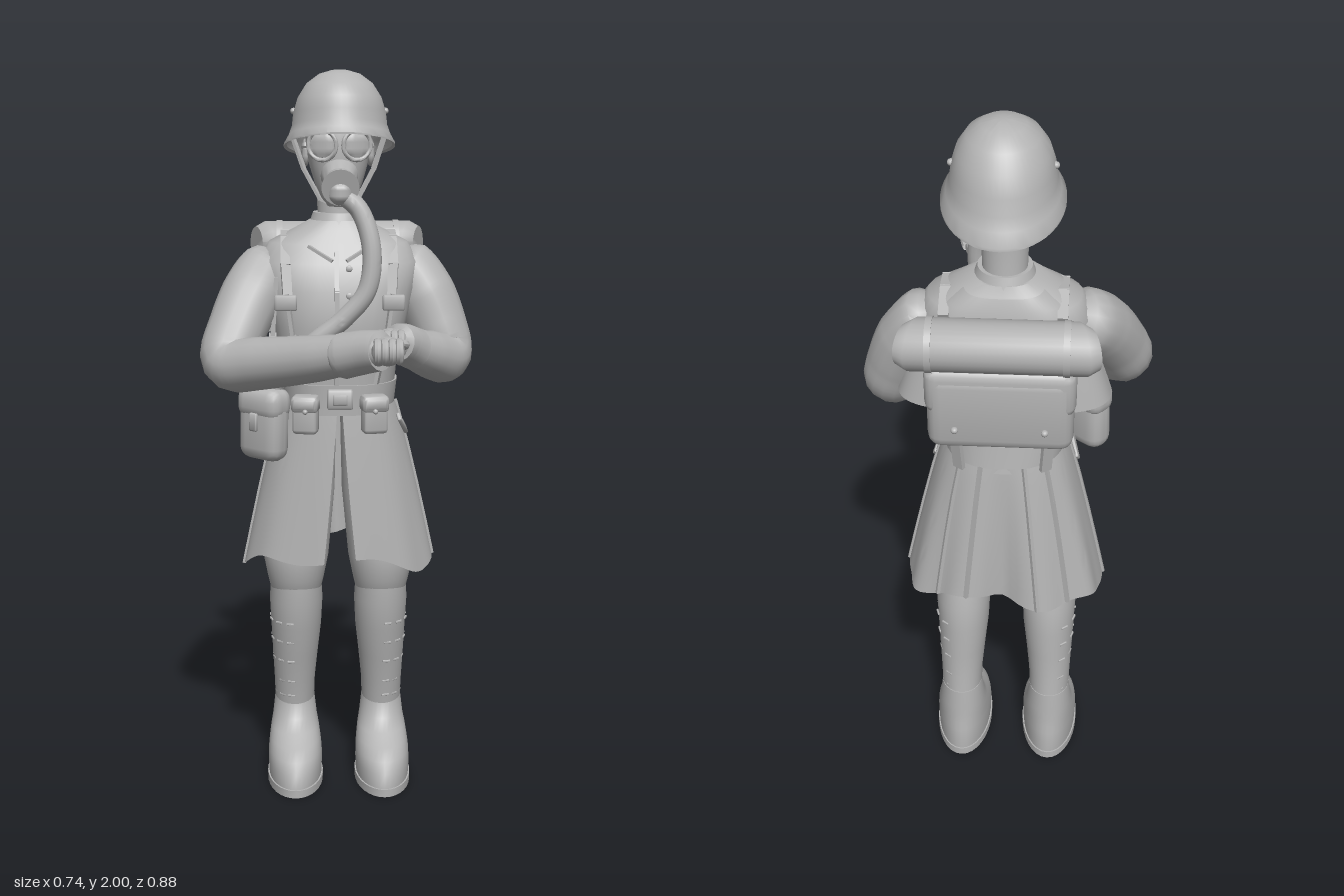
import * as THREE from 'three';
import { toCreasedNormals } from 'three/addons/utils/BufferGeometryUtils.js';
import { RoundedBoxGeometry } from 'three/addons/geometries/RoundedBoxGeometry.js';

const V = (x, y, z) => new THREE.Vector3(x, y, z);

export function createModel() {
  const model = new THREE.Group();
  model.name = 'soldier';
  const grey = new THREE.MeshStandardMaterial({ color: 0xb4b4b4, side: THREE.DoubleSide });
  grey.name = 'plain grey';

  function add(name, geo, x = 0, y = 0, z = 0, rx = 0, ry = 0, rz = 0) {
    const m = new THREE.Mesh(toCreasedNormals(geo, 0.75), grey);
    m.name = name;
    m.position.set(x, y, z);
    m.rotation.set(rx, ry, rz);
    model.add(m);
    return m;
  }

  // Grid whose vertices follow fn(u, v)
  function sheet(fn, nu, nv) {
    const g = new THREE.PlaneGeometry(1, 1, nu, nv);
    const p = g.attributes.position;
    for (let i = 0; i < p.count; i++) p.setXYZ(i, ...fn(p.getX(i) + 0.5, p.getY(i) + 0.5));
    return g;
  }

  const spow = (s, e) => Math.sign(s) * Math.pow(Math.abs(s), e);
  // Closed body from [y, centreX, halfWidth, zBack, zFront], rising in y
  function loft(secs, power = 2, seg = 32) {
    const tip = s => [s[0], s[1], 0.0001, (s[3] + s[4]) / 2, (s[3] + s[4]) / 2];
    const all = [tip(secs[0]), ...secs, tip(secs[secs.length - 1])], n = all.length - 1;
    return sheet((u, v) => {
      const [y, cx, rx, z0, z1] = all[Math.round(v * n)], a = u * Math.PI * 2, e = 2 / power;
      return [cx + rx * spow(Math.sin(a), e), y, (z0 + z1) / 2 + (z1 - z0) / 2 * spow(Math.cos(a), e)];
    }, seg, n);
  }

  // Tube with changing radius from [x, y, z, r]
  function limb(pts, seg = 32, round = 16) {
    const c = new THREE.CatmullRomCurve3(pts.map(p => V(p[0], p[1], p[2])));
    const g = new THREE.TubeGeometry(c, seg, 1, round), p = g.attributes.position, q = V();
    for (let i = 0; i < p.count; i++) {
      const u = Math.floor(i / (round + 1)) / seg, t = c.getUtoTmapping(u) * (pts.length - 1);
      const k = Math.min(Math.floor(t), pts.length - 2);
      const r = THREE.MathUtils.lerp(pts[k][3], pts[k + 1][3], t - k), o = c.getPointAt(u);
      q.fromBufferAttribute(p, i).sub(o).multiplyScalar(r).add(o);
      p.setXYZ(i, q.x, q.y, q.z);
    }
    return g;
  }

  // Flat webbing laid through a list of points
  function strap(name, pts, w, t = 0.012) {
    for (let i = 0; i < pts.length - 1; i++) {
      const [a, b] = [pts[i], pts[i + 1]];
      const m = add(name, new THREE.BoxGeometry(w, t, a.distanceTo(b) + t * 0.6));
      m.position.copy(a).add(b).multiplyScalar(0.5);
      m.lookAt(b);
    }
  }
  const box = (w, h, d, r = 0.012) => new RoundedBoxGeometry(w, h, d, 2, r);
  const ball = (r, sx = 1, sy = 1, sz = 1) => new THREE.SphereGeometry(r, 20, 14).scale(sx, sy, sz);

  // Torso
  const body = [[1.08, 0, 0.15, -0.32, -0.02], [1.2, 0, 0.16, -0.3, -0.015], [1.32, 0, 0.185, -0.29, 0],
    [1.42, 0, 0.21, -0.29, -0.01], [1.49, 0, 0.22, -0.29, -0.035], [1.54, 0, 0.19, -0.28, -0.07],
    [1.575, 0, 0.12, -0.26, -0.09], [1.6, 0, 0.075, -0.25, -0.1]];
  add('torso', loft(body, 2.5));
  // Point on the chest surface
  function onBody(x, y, lift = 0.005) {
    const k = Math.max(1, body.findIndex(s => s[0] >= y)), a = body[k - 1], b = body[k];
    const [, , rx, z0, z1] = a.map((s, i) => THREE.MathUtils.lerp(s, b[i], (y - a[0]) / (b[0] - a[0])));
    const f = Math.pow(Math.max(0, 1 - Math.pow(Math.abs(x) / rx, 2.5)), 0.4);
    return V(x, y, (z0 + z1) / 2 + (z1 - z0) / 2 * f + lift);
  }

  // Back cape
  add('cape', sheet((u, v) => {
    const a = Math.PI * (0.5 + u), w = Math.pow(1 - v, 0.55);
    return [(0.1 + 0.17 * w) * spow(Math.sin(a), 0.65), 1.27 + 0.31 * v,
      -0.19 + (0.085 + 0.04 * w) * spow(Math.cos(a), 0.65)];
  }, 32, 10));

  // Coat skirt with open front and folded back: angle a, drop t
  function skirtAt(a, t, lift = 0) {
    const w = Math.pow(t, 0.85), back = Math.max(0, -Math.cos(a));
    const fold = 1 + 0.035 * t * Math.cos(a * 9) * (0.3 + back) - 0.16 * t * Math.exp(-Math.pow((a - Math.PI) / 0.12, 2));
    const hem = 0.655 + 0.02 * Math.cos(a * 2 + 0.6) + 0.015 * Math.sin(a * 5);
    return [(0.15 + 0.115 * w + lift) * spow(Math.sin(a), 0.85) * fold, 1.12 + (hem - 1.12) * t,
      -0.17 - 0.01 * w + (0.145 + 0.035 * w + lift) * spow(Math.cos(a), 0.85) * fold];
  }
  add('coatSkirt', sheet((u, v) => {
    const gap = 0.02 + 0.1 * (1 - v);
    return skirtAt(gap + u * (Math.PI * 2 - gap * 2), 1 - v);
  }, 96, 12));
  for (const a of [1.5, 2.45, 2.85, 3.43, 3.83, 4.78])
    strap('skirtPleat', [0.05, 0.3, 0.55, 0.8, 0.99].map(t => V(...skirtAt(a, t, 0.001))), 0.01, 0.01);

  // Belt and buckle
  add('belt', loft([[1.1, 0, 0.156, -0.326, -0.012], [1.165, 0, 0.163, -0.318, -0.008]], 2.4));
  add('beltBuckle', box(0.07, 0.055, 0.025, 0.006), 0, 1.13, 0);
  add('bucklePlate', box(0.04, 0.03, 0.02, 0.004), 0, 1.13, 0.008);

  // Coat front
  for (let i = 0; i < 5; i++) add('coatButton', ball(0.009, 1, 1, 0.6), 0.025, 1.2 + i * 0.07, onBody(0.025, 1.2 + i * 0.07).z);
  strap('frontPlacket', [1.17, 1.3, 1.42, 1.52].map(y => onBody(-0.008, y, 0.001)), 0.012);
  add('collar', new THREE.CylinderGeometry(0.068, 0.09, 0.06, 28), 0, 1.59, -0.175);

  // Legs, boots and gear that repeats on both sides
  for (const s of [-1, 1]) {
    add('thigh', loft([[0.565, s * 0.12, 0.072, -0.225, -0.065], [0.6, s * 0.12, 0.08, -0.235, -0.05],
      [0.66, s * 0.12, 0.092, -0.245, -0.045], [0.85, s * 0.11, 0.1, -0.27, -0.05], [1.09, s * 0.08, 0.075, -0.28, -0.06]]));
    add('legging', loft([[0.19, s * 0.125, 0.055, -0.262, -0.128], [0.28, s * 0.125, 0.058, -0.252, -0.115],
      [0.36, s * 0.123, 0.064, -0.248, -0.095], [0.45, s * 0.12, 0.071, -0.248, -0.075],
      [0.53, s * 0.12, 0.075, -0.242, -0.06], [0.61, s * 0.12, 0.07, -0.222, -0.06]]));
    add('boot', loft([[0.02, s * 0.125, 0.075, -0.278, 0.046], [0.06, s * 0.125, 0.077, -0.278, 0.042],
      [0.09, s * 0.125, 0.076, -0.274, 0.018], [0.115, s * 0.125, 0.073, -0.27, -0.025],
      [0.14, s * 0.125, 0.069, -0.267, -0.075], [0.17, s * 0.125, 0.063, -0.265, -0.115], [0.23, s * 0.125, 0.056, -0.26, -0.128]]));
    add('bootSole', loft([[0, s * 0.125, 0.079, -0.282, 0.052], [0.022, s * 0.125, 0.079, -0.282, 0.052]]));
    // Legging lacing, rows of [y, half width, centre z, half depth]
    for (const [y, r, cz, d] of [[0.47, 0.072, -0.159, 0.088], [0.41, 0.068, -0.167, 0.081], [0.35, 0.063, -0.173, 0.076],
      [0.285, 0.058, -0.183, 0.069], [0.24, 0.057, -0.188, 0.067]])
      for (const a of [-0.9, -0.3, 0.3, 0.85, 1.35])
        add('leggingLace', box(0.005, 0.007, 0.022, 0.002), s * (0.122 + r * Math.cos(a)), y, cz + d * Math.sin(a), 0, -s * a);

    // Webbing over the shoulder
    strap('shoulderStrap', [onBody(s * 0.1, 1.17), onBody(s * 0.125, 1.3), onBody(s * 0.14, 1.41), onBody(s * 0.145, 1.49),
      V(s * 0.145, 1.555, -0.13), V(s * 0.145, 1.564, -0.2), V(s * 0.145, 1.53, -0.275)], 0.026, 0.01);
    strap('backStrap', [V(s * 0.12, 1.25, -0.33), V(s * 0.11, 1.1, -0.315)], 0.03);
    add('strapBuckle', box(0.06, 0.042, 0.02, 0.005), s * 0.145, 1.39, onBody(s * 0.145, 1.39).z + 0.01);
    strap('lapel', [onBody(s * 0.02, 1.5, 0), onBody(s * 0.08, 1.535, 0)], 0.014, 0.008);
    // Belt pouches and coat pockets
    add('beltPouch', box(0.068, 0.1, 0.05), s * 0.093, 1.085, -0.01, 0, s * 0.2);
    add('pouchFlap', box(0.074, 0.045, 0.058), s * 0.093, 1.118, -0.008, 0, s * 0.2);
    add('pouchStud', ball(0.007), s * 0.095, 1.1, 0.023);
    add('coatPocketFlap', box(0.012, 0.025, 0.1, 0.005), s * 0.176, 1.04, -0.115, -0.6, s * -0.25, s * 0.25);
  }

  // Arms: the right reaches forward across the chest, the left is tucked in
  add('rightArm', limb([[-0.14, 1.48, -0.18, 0.02], [-0.19, 1.46, -0.165, 0.083], [-0.235, 1.4, -0.105, 0.086],
    [-0.275, 1.32, -0.045, 0.08], [-0.3, 1.25, 0.0, 0.076], [-0.287, 1.233, 0.02, 0.074], [-0.21, 1.245, 0.085, 0.07],
    [-0.06, 1.28, 0.215, 0.06], [0.05, 1.31, 0.31, 0.046], [0.09, 1.32, 0.36, 0.034], [0.105, 1.325, 0.38, 0.01]], 56));
  add('leftArm', limb([[0.14, 1.48, -0.19, 0.02], [0.19, 1.46, -0.185, 0.083], [0.24, 1.39, -0.165, 0.086],
    [0.275, 1.31, -0.145, 0.08], [0.295, 1.245, -0.125, 0.074], [0.285, 1.23, -0.1, 0.073], [0.235, 1.25, -0.03, 0.063],
    [0.17, 1.285, 0.05, 0.046], [0.14, 1.3, 0.09, 0.034], [0.13, 1.305, 0.11, 0.01]], 56));
  add('rightCuff', limb([[0.0, 1.295, 0.265, 0.05], [0.0, 1.295, 0.267, 0.06], [0.05, 1.31, 0.305, 0.056],
    [0.093, 1.32, 0.343, 0.05], [0.094, 1.32, 0.344, 0.03]], 24));
  add('leftCuff', limb([[0.2, 1.27, 0.015, 0.045], [0.199, 1.27, 0.016, 0.058], [0.172, 1.288, 0.048, 0.054],
    [0.15, 1.298, 0.078, 0.05], [0.149, 1.298, 0.079, 0.03]], 24));

  // Fists
  function hand(name, x, y, z, thumb) {
    add(name + 'Palm', ball(0.043, 0.95, 0.85, 0.95), x, y, z);
    for (let i = 0; i < 4; i++) {
      const fx = x - 0.027 + i * 0.018;
      add(name + 'Finger', limb([[fx, y + 0.025, z + 0.005, 0.01], [fx, y + 0.024, z + 0.033, 0.0105],
        [fx, y, z + 0.045, 0.0105], [fx, y - 0.02, z + 0.032, 0.01], [fx, y - 0.024, z + 0.012, 0.004]], 12, 8));
    }
    add(name + 'Thumb', limb([[x + thumb * 0.034, y + 0.01, z - 0.02, 0.013], [x + thumb * 0.041, y + 0.018, z + 0.008, 0.013],
      [x + thumb * 0.028, y + 0.025, z + 0.033, 0.004]], 10, 8));
  }
  hand('rightHand', 0.105, 1.325, 0.385, 1);
  hand('leftHand', 0.127, 1.305, 0.118, -1);

  // Neck and head
  add('neck', loft([[1.53, 0, 0.066, -0.25, -0.11], [1.62, 0, 0.056, -0.235, -0.12], [1.74, 0, 0.06, -0.235, -0.12]]));
  add('head', loft([[1.642, 0, 0.03, -0.13, -0.06], [1.66, 0, 0.047, -0.165, -0.045], [1.7, 0, 0.064, -0.205, -0.04],
    [1.75, 0, 0.079, -0.24, -0.036], [1.81, 0, 0.088, -0.255, -0.036], [1.88, 0, 0.09, -0.255, -0.045], [1.93, 0, 0.07, -0.24, -0.08]]));

  // Gas mask with eyepieces, filter cup and hose
  for (const s of [-1, 1]) {
    add('eyeRim', new THREE.TorusGeometry(0.039, 0.006, 10, 28), s * 0.046, 1.806, -0.036, 0, s * 0.35);
    add('eyeLens', ball(0.038, 1, 1, 0.3), s * 0.046, 1.806, -0.042, 0, s * 0.35);
    add('ear', ball(0.034, 0.35, 1.1, 0.8), s * 0.088, 1.78, -0.165);
    strap('maskStrap', [V(s * 0.074, 1.8, -0.07), V(s * 0.09, 1.795, -0.15)], 0.02, 0.006);
    strap('chinStrap', [V(s * 0.125, 1.83, -0.13), V(s * 0.094, 1.74, -0.11), V(s * 0.05, 1.66, -0.09), V(0, 1.638, -0.085)], 0.014, 0.008);
  }
  add('maskSnout', new THREE.CylinderGeometry(0.04, 0.05, 0.07, 24), 0, 1.715, -0.025, 1.85);
  add('maskCup', new THREE.CylinderGeometry(0.05, 0.042, 0.035, 24), 0, 1.704, 0.012, 1.85);
  add('maskNozzle', ball(0.034), 0, 1.685, 0.008);
  add('hose', limb([[0, 1.685, 0.005, 0.026], [0.05, 1.64, 0.012, 0.026], [0.082, 1.54, 0.028, 0.026], [0.07, 1.43, 0.035, 0.026],
    [0.01, 1.355, 0.032, 0.026], [-0.07, 1.29, 0.025, 0.026], [-0.15, 1.21, 0.01, 0.026], [-0.19, 1.14, 0, 0.026]], 64, 14));

  // Helmet, its rim rising to the front
  const helmet = new THREE.LatheGeometry([[0.143, 0.004], [0.151, 0], [0.151, 0.006], [0.138, 0.03], [0.129, 0.055], [0.125, 0.09], [0.113, 0.13],
    [0.089, 0.168], [0.055, 0.193], [0.02, 0.203], [0, 0.204]].map(p => new THREE.Vector2(...p)), 48);
  const hp = helmet.attributes.position;
  for (let i = 0; i < hp.count; i++) {
    const y = hp.getY(i), k = Math.max(0, 1 - y / 0.2), z = hp.getZ(i) * (1.1 + 0.075 * k);
    hp.setXYZ(i, hp.getX(i), y + 0.235 * z * k, z + 0.012 * (1 - k));
  }
  add('helmet', helmet, 0.004, 1.796, -0.168);
  for (const s of [-1, 1]) add('helmetRivet', ball(0.009), 0.004 + s * 0.124, 1.89, -0.17);

  // Side bag on the right hip, turned outward
  add('sideBag', box(0.14, 0.2, 0.08, 0.036), -0.205, 1.065, -0.005, 0, -0.7, -0.03);
  add('sideBagFlap', box(0.145, 0.09, 0.088, 0.034), -0.205, 1.122, -0.005, 0, -0.7, -0.03);
  add('sideBagTab', box(0.025, 0.05, 0.01, 0.004), -0.234, 1.075, 0.029, 0, -0.7, -0.03);
  strap('sideBagSling', [V(-0.18, 1.16, -0.03), V(-0.18, 1.3, -0.06), V(-0.17, 1.45, -0.06)], 0.02);

  // Backpack
  add('backpack', box(0.36, 0.23, 0.1, 0.035), 0, 1.335, -0.365, -0.06);
  add('backpackFlap', box(0.37, 0.14, 0.108, 0.03), 0, 1.395, -0.362, -0.06);
  for (const s of [-1, 1]) add('backpackStud', ball(0.009), s * 0.11, 1.29, -0.419);

  // Bedroll, longer along its rear side
  const roll = new THREE.LatheGeometry([[0, -0.245], [0.05, -0.245], [0.066, -0.215], [0.066, 0.215], [0.05, 0.245], [0, 0.245]]
    .map(p => new THREE.Vector2(...p)), 28).rotateZ(Math.PI / 2);
  const rp = roll.attributes.position;
  for (let i = 0; i < rp.count; i++) rp.setX(i, rp.getX(i) * (0.94 - 1.5 * rp.getZ(i)));
  add('bedroll', roll, 0.005, 1.51, -0.373);
  for (const s of [-1, 1])
    add('bedrollStrap', new THREE.CylinderGeometry(0.069, 0.069, 0.016, 28), 0.005 + s * 0.165, 1.51, -0.373, 0, 0, Math.PI / 2);

  return model;
}
